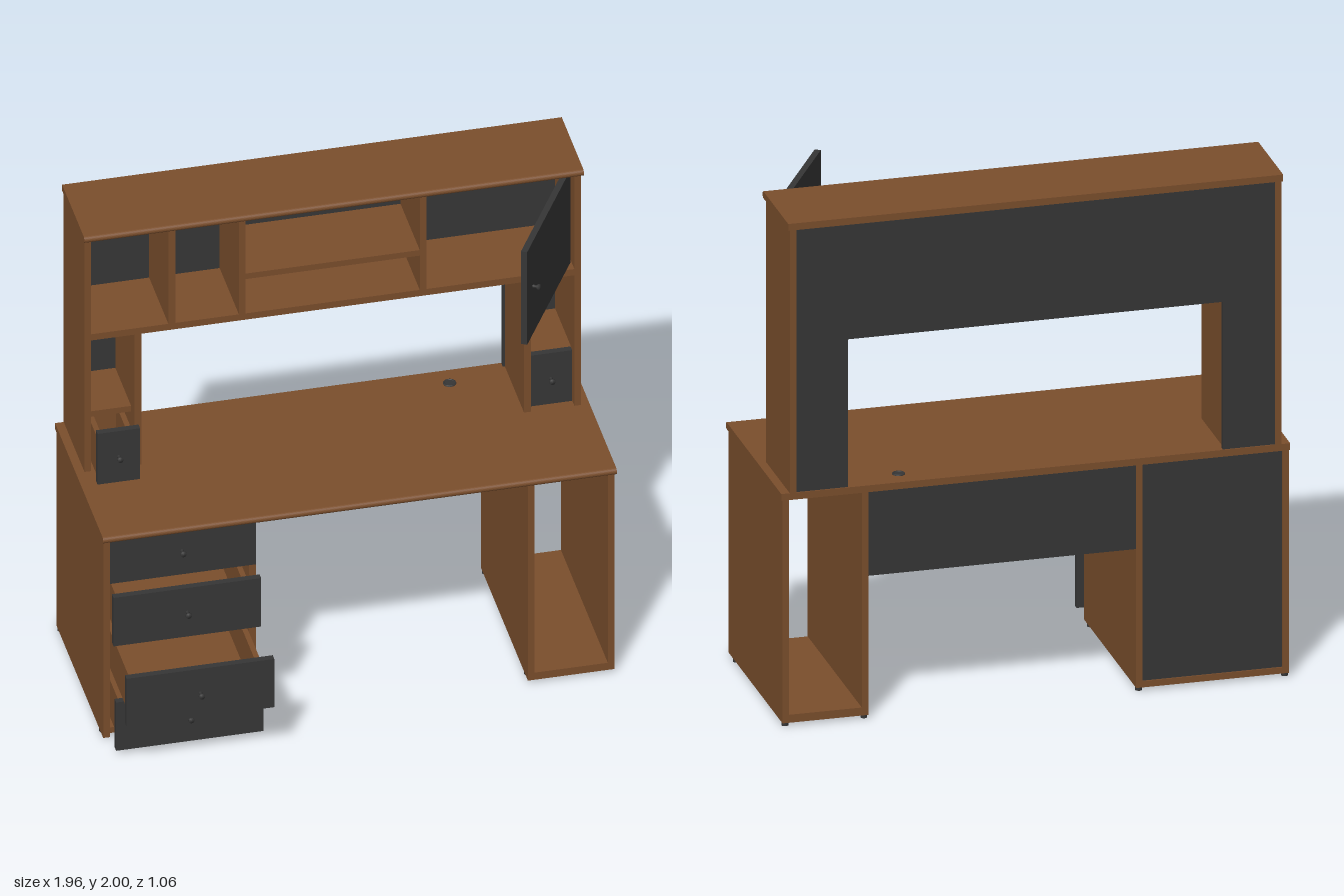
import * as THREE from 'three';

const wood = new THREE.MeshStandardMaterial({ color: 0x7a4e2c });
wood.name = 'brown wood';
const dark = new THREE.MeshStandardMaterial({ color: 0x363636 });
dark.name = 'charcoal';

// Box given by its limits on each axis
function board(parent, name, mat, [x0, x1], [y0, y1], [z0, z1]) {
  const m = new THREE.Mesh(new THREE.BoxGeometry(x1 - x0, y1 - y0, z1 - z0), mat);
  m.position.set((x0 + x1) / 2, (y0 + y1) / 2, (z0 + z1) / 2);
  m.name = name;
  parent.add(m);
  return m;
}

// Horizontal slab with a half-round front edge
function slab(parent, name, halfWidth, y0, y1, zBack, zFront) {
  const r = (y1 - y0) / 2;
  const s = new THREE.Shape();
  s.moveTo(-zBack, y0);
  s.lineTo(-zBack, y1);
  s.lineTo(-zFront + r, y1);
  s.absarc(-zFront + r, y0 + r, r, Math.PI / 2, Math.PI * 1.5, false);
  s.closePath();
  const g = new THREE.ExtrudeGeometry(s, { depth: halfWidth * 2, bevelEnabled: false, curveSegments: 8 });
  g.rotateY(Math.PI / 2);
  g.translate(-halfWidth, 0, 0);
  const m = new THREE.Mesh(g, wood);
  m.name = name;
  parent.add(m);
}

// Round pull, thin at the base and wider at the tip, pointing to +z
function knob(parent, x, y, z) {
  const pts = [[0.007, 0], [0.005, 0.012], [0.012, 0.022], [0.011, 0.028], [0, 0.03]];
  const g = new THREE.LatheGeometry(pts.map(p => new THREE.Vector2(...p)), 16);
  g.rotateX(Math.PI / 2);
  const m = new THREE.Mesh(g, dark);
  m.position.set(x, y, z);
  m.name = 'knob';
  parent.add(m);
}

// Open-topped drawer: front face at z = 0, box running backwards
function drawer(parent, name, [x0, x1], [y0, y1], [bx0, bx1], [by0, by1], depth, z) {
  const d = new THREE.Group();
  d.name = name;
  d.position.z = z;
  const t = 0.02, f = -0.025;
  board(d, 'drawerFront', dark, [x0, x1], [y0, y1], [f, 0]);
  board(d, 'drawerSide', wood, [bx0, bx0 + t], [by0, by1], [-depth, f]);
  board(d, 'drawerSide', wood, [bx1 - t, bx1], [by0, by1], [-depth, f]);
  board(d, 'drawerBack', wood, [bx0 + t, bx1 - t], [by0, by1], [-depth, -depth + t]);
  board(d, 'drawerInnerFront', wood, [bx0 + t, bx1 - t], [by0, by1], [f - 0.01, f]);
  board(d, 'drawerFloor', wood, [bx0 + t, bx1 - t], [by0, by0 + 0.015], [-depth + t, f - 0.01]);
  knob(d, (x0 + x1) / 2, (y0 + y1) / 2, 0);
  parent.add(d);
}

export function createModel() {
  const model = new THREE.Group();
  model.name = 'deskWithHutch';
  const back = -0.525;

  // Desk base: drawer pedestal, open leg and back panels
  const desk = new THREE.Group();
  desk.name = 'desk';
  model.add(desk);
  slab(desk, 'desktop', 0.98, 0.9, 0.927, back, 0.25);
  const legY = [0.013, 0.9];
  board(desk, 'pedestalOuterSide', wood, [-0.975, -0.95], legY, [back, 0.23]);
  board(desk, 'pedestalInnerSide', wood, [-0.412, -0.387], legY, [back, 0.204]);
  board(desk, 'pedestalBottom', wood, [-0.95, -0.412], [0.013, 0.038], [back, 0.204]);
  board(desk, 'pedestalBack', dark, [-0.95, -0.412], [0.038, 0.9], [-0.52, -0.5]);
  board(desk, 'legInnerSide', wood, [0.645, 0.67], legY, [back, 0.23]);
  board(desk, 'legOuterSide', wood, [0.95, 0.975], legY, [back, 0.23]);
  board(desk, 'legBottom', wood, [0.67, 0.95], [0.013, 0.045], [back, 0.23]);
  board(desk, 'modestyPanel', dark, [-0.387, 0.645], [0.565, 0.9], [-0.52, -0.5]);

  // Feet under the four side panels
  for (const x of [-0.962, -0.4, 0.658, 0.962]) {
    for (const z of [0.165, -0.51]) {
      const foot = new THREE.Mesh(new THREE.CylinderGeometry(0.013, 0.013, 0.014, 12), dark);
      foot.position.set(x, 0.007, z);
      foot.name = 'foot';
      desk.add(foot);
    }
  }

  // Cable grommet on the desktop
  const ring = new THREE.Mesh(new THREE.TorusGeometry(0.021, 0.004, 8, 24), dark);
  ring.rotation.x = Math.PI / 2;
  ring.position.set(0.505, 0.928, -0.44);
  ring.name = 'grommetRing';
  const cap = new THREE.Mesh(new THREE.CylinderGeometry(0.021, 0.021, 0.004, 24), dark);
  cap.position.set(0.505, 0.928, -0.44);
  cap.name = 'grommetCap';
  desk.add(ring, cap);

  // Pedestal drawers, pulled out by different amounts: bottom, top and front of each
  const rows = [[0.02, 0.238, 0.332], [0.242, 0.46, 0.502], [0.464, 0.683, 0.291], [0.687, 0.9, 0.23 - 0.025]];
  for (const [y0, y1, z] of rows) {
    drawer(desk, 'deskDrawer', [-0.95, -0.387], [y0, y1], [-0.93, -0.43], [y0 + 0.026, y1 - 0.025], 0.66, z);
  }

  // Hutch carcass
  const hutch = new THREE.Group();
  hutch.name = 'hutch';
  model.add(hutch);
  const front = -0.19, inner = -0.5;
  slab(hutch, 'hutchTop', 0.953, 1.973, 2.0, back, -0.166);
  board(hutch, 'longShelf', wood, [-0.922, 0.922], [1.517, 1.545], [inner, front]);
  for (const s of [-1, 1]) {
    const span = (a, b) => (s > 0 ? [a, b] : [-b, -a]);
    board(hutch, 'hutchSide', wood, span(0.922, 0.947), [0.927, 1.973], [back, front]);
    board(hutch, 'hutchInnerPost', wood, span(0.73, 0.756), [0.927, 1.517], [inner, front]);
    board(hutch, 'cubbyShelf', wood, span(0.756, 0.922), [1.133, 1.158], [inner, -0.245]);
    board(hutch, 'upperDivider', wood, span(0.332, 0.358), [1.545, 1.973], [inner, front]);
    drawer(hutch, 'hutchDrawer', span(0.758, 0.92), [0.931, 1.16], span(0.775, 0.912), [0.942, 1.115], 0.25, s < 0 ? -0.093 : -0.218);
  }
  board(hutch, 'leftDivider', wood, [-0.627, -0.6], [1.545, 1.973], [inner, front]);
  board(hutch, 'middleShelf', wood, [-0.332, 0.332], [1.7, 1.725], [inner, front]);

  // Back panel with an opening above the desktop
  const outline = [[-0.922, 0.927], [-0.722, 0.927], [-0.722, 1.515], [0.722, 1.515],
    [0.722, 0.927], [0.922, 0.927], [0.922, 1.973], [-0.922, 1.973]];
  const backPanel = new THREE.Mesh(
    new THREE.ExtrudeGeometry(new THREE.Shape(outline.map(p => new THREE.Vector2(...p))), { depth: 0.02, bevelEnabled: false }), dark);
  backPanel.position.z = -0.52;
  backPanel.name = 'hutchBack';
  hutch.add(backPanel);

  // Cupboard door, swung open on its outer edge
  const door = new THREE.Group();
  door.name = 'cupboardDoor';
  door.position.set(0.915, 0, -0.225);
  door.rotation.y = Math.PI / 3;
  board(door, 'doorPanel', dark, [-0.56, 0], [1.552, 1.97], [-0.024, 0]);
  knob(door, -0.485, 1.768, 0);
  hutch.add(door);

  return model;
}
